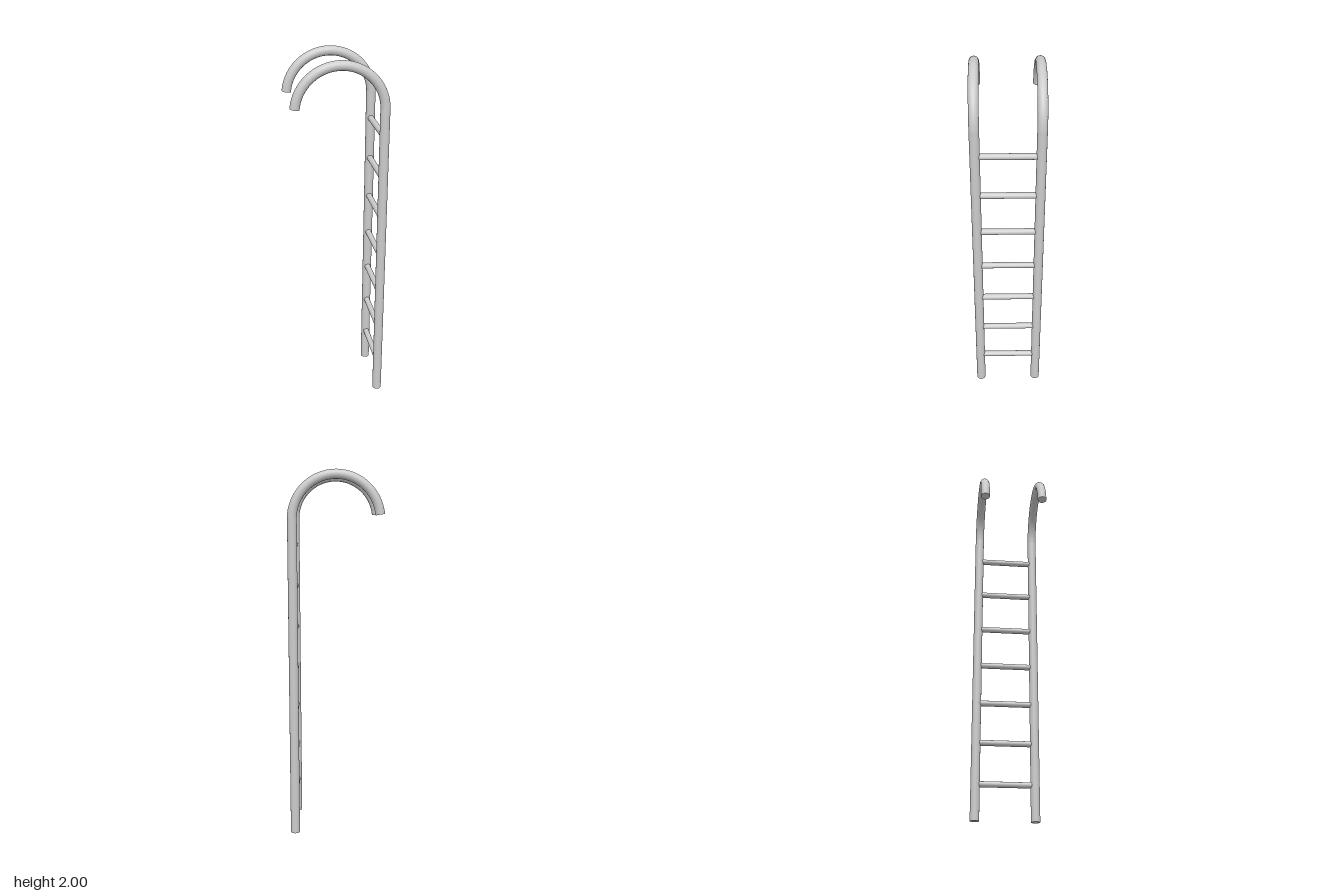
import * as THREE from 'three';

const RAIL_X = 0.23, RAIL_Z = 0.165, RAIL_R = 0.0255, RUNG_R = 0.0165;
const ARC_R = 0.2325, ARC_Y = 1.742;

export function createModel() {
  const group = new THREE.Group();
  const material = new THREE.MeshStandardMaterial({ color: 0xcccccc });
  const add = (parent, name, geometry) => {
    const mesh = new THREE.Mesh(geometry, material);
    mesh.name = name;
    parent.add(mesh);
    return mesh;
  };

  // Centre line of a rail: straight post, then a hooked arc over the top
  const path = new THREE.CurvePath();
  const arcPoint = (deg) => {
    const a = THREE.MathUtils.degToRad(deg);
    return new THREE.Vector3(ARC_R * Math.cos(a), ARC_Y + ARC_R * Math.sin(a), 0);
  };
  const points = [];
  for (let i = 0; i <= 24; i++) points.push(arcPoint(4 + (170 * i) / 24));
  path.add(new THREE.LineCurve3(new THREE.Vector3(RAIL_X, 0, 0), points[0]));
  path.add(new THREE.CatmullRomCurve3(points));

  const outward = new THREE.Vector3(0, 0, 1);
  for (const [side, z] of [['front', RAIL_Z], ['back', -RAIL_Z]]) {
    const rail = new THREE.Group();
    rail.name = side + 'Rail';
    rail.position.z = z;
    add(rail, side + 'RailTube', new THREE.TubeGeometry(path, 160, RAIL_R, 24, false));

    // Flat caps close both ends of the tube
    for (const [name, t, sign] of [['FootCap', 0, -1], ['HookCap', 1, 1]]) {
      const cap = add(rail, side + name, new THREE.CircleGeometry(RAIL_R, 24));
      cap.position.copy(path.getPointAt(t));
      cap.quaternion.setFromUnitVectors(outward, path.getTangentAt(t).multiplyScalar(sign));
    }
    group.add(rail);
  }

  // Seven evenly spaced rungs between the rails
  const rungGeometry = new THREE.CylinderGeometry(RUNG_R, RUNG_R, 2 * RAIL_Z, 20).rotateX(Math.PI / 2);
  for (let i = 0; i < 7; i++) {
    add(group, 'rung' + (i + 1), rungGeometry).position.set(RAIL_X, 0.2 + i * 0.233, 0);
  }
  return group;
}
